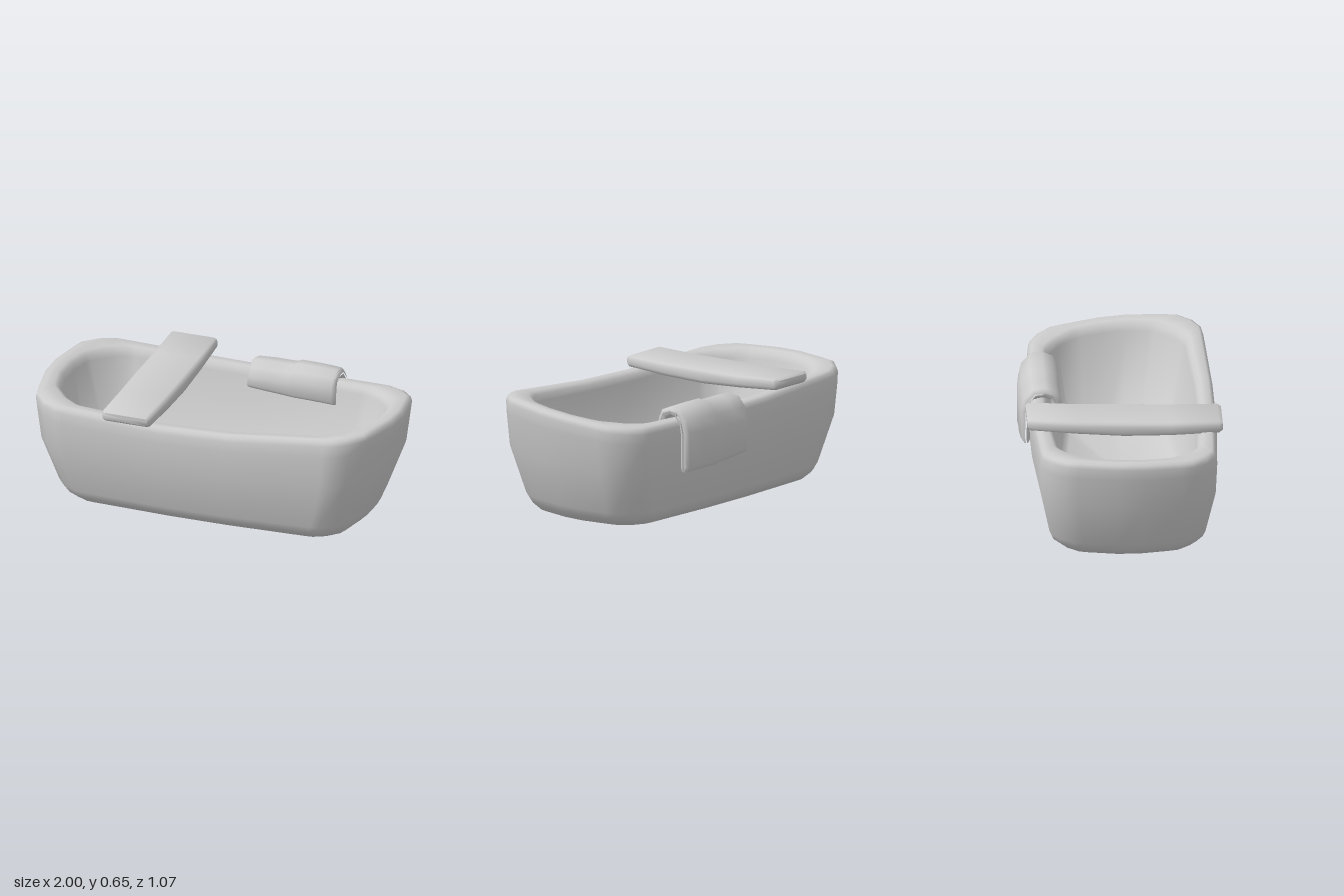
import * as THREE from 'three';
import { toCreasedNormals } from 'three/addons/utils/BufferGeometryUtils.js';

// Skin closed rings of [x, y, z] points, running counter-clockwise about the direction of travel.
function loft(rings, capped, crease = 0.95) {
  const n = rings[0].length;
  const pos = rings.flat(2);
  const idx = [];
  for (let r = 0; r < rings.length - 1; r++) {
    for (let i = 0; i < n; i++) {
      const j = (i + 1) % n;
      const a = r * n, b = a + n;
      idx.push(a + i, a + j, b + j, a + i, b + j, b + i);
    }
  }
  if (capped) {
    [0, rings.length - 1].forEach((r) => {
      const c = pos.length / 3;
      for (let k = 0; k < 3; k++) pos.push(rings[r].reduce((s, p) => s + p[k], 0) / n);
      for (let i = 0; i < n; i++) {
        const a = r * n + i, b = r * n + (i + 1) % n;
        if (r === 0) idx.push(b, a, c);
        else idx.push(a, b, c);
      }
    });
  }
  const g = new THREE.BufferGeometry();
  g.setAttribute('position', new THREE.Float32BufferAttribute(pos, 3));
  g.setIndex(idx);
  return toCreasedNormals(g, crease);
}

// Mirror one quarter of an outline into a full ring of [x, z]
function mirrorQuarter(q) {
  const rev = [...q].reverse();
  return [
    ...q, ...rev.map(([x, z]) => [x, -z]),
    ...q.map(([x, z]) => [-x, -z]), ...rev.map(([x, z]) => [-x, z]),
  ];
}

// Slightly warped rim height: the right-hand end rises to the front
const rimHeight = (x, z) =>
  0.561 + 0.05 * x * x + 0.01 * x + z * (0.09 * Math.max(x, 0) + 0.02 * Math.min(x, 0));

function tubGeometry() {
  const outer = mirrorQuarter([[0.2, 0.499], [0.75, 0.476], [0.8, 0.47], [0.88, 0.425],
    [0.948, 0.345], [0.965, 0.28], [1, 0.08]]);
  const opening = mirrorQuarter([[0.2, 0.4], [0.65, 0.372], [0.69, 0.362], [0.77, 0.312],
    [0.85, 0.22], [0.865, 0.18], [0.89, 0.07]]);
  const floor = mirrorQuarter([[0.18, 0.315], [0.58, 0.275], [0.62, 0.268], [0.66, 0.245],
    [0.7, 0.17], [0.72, 0.135], [0.775, 0.03]]);
  // outline, x scale, z scale, fraction of rim height: up the outside, over the rim, down inside
  const layers = [
    [outer, 0.81, 0.77, 0], [outer, 0.85, 0.85, 0.065], [outer, 0.872, 0.882, 0.13],
    [outer, 0.967, 0.985, 0.55], [outer, 0.99, 1, 0.84], [outer, 1, 0.99, 0.94],
    [outer, 0.994, 0.975, 0.98], [outer, 0.972, 0.945, 1],
    [opening, 1.035, 1.07, 1], [opening, 1.008, 1.02, 0.975], [opening, 0.995, 0.99, 0.92],
    [floor, 1.02, 1.03, 0.24], [floor, 0.94, 0.92, 0.19],
  ];
  return loft(layers.map(([outline, sx, sz, t]) => outline.map(([x, z]) =>
    [x * sx, t * rimHeight(x * sx, z * sz), z * sz + 0.012])), true);
}

function plankGeometry() {
  // z, half width, half thickness
  const stations = [
    [-0.517, 0.122, 0.018], [-0.5, 0.135, 0.031], [-0.25, 0.141, 0.035], [0, 0.144, 0.04],
    [0.25, 0.143, 0.037], [0.51, 0.139, 0.033], [0.53, 0.125, 0.02],
  ];
  return loft(stations.map(([z, w, h]) => {
    const y = 0.605 - 0.03 * z - 0.016 * (1 - 4 * z * z);
    const b = Math.min(0.022, h * 0.65), m = b * 0.3;
    const corner = [[h - b, w], [h - m, w - m], [h, w - b]];
    return mirrorQuarter(corner).map(([v, u]) => [u - 0.368, y + v, z]);
  }), true);
}

function towelGeometry() {
  // Centre line (z, y) from the outer hem, over the rim, to the inner hem
  const path = [
    [-0.5, 0.285], [-0.503, 0.31], [-0.502, 0.48], [-0.488, 0.54], [-0.452, 0.582],
    [-0.4, 0.587], [-0.356, 0.57], [-0.342, 0.535], [-0.335, 0.475], [-0.334, 0.46],
  ];
  // x, half thickness, outward bulge, lift, extra hem drop
  const stations = [
    [0.002, 0.004, 0, 0, -0.02], [0.007, 0.02, 0, 0, -0.02], [0.022, 0.027, 0, 0, -0.02],
    [0.12, 0.028, 0.004, 0.002, -0.01], [0.24, 0.027, 0.004, 0.003, 0],
    [0.265, 0.028, 0.006, 0.012, 0.012], [0.38, 0.028, 0.002, 0.013, 0.015],
    [0.49, 0.026, -0.006, 0.012, 0.018], [0.505, 0.02, -0.008, 0.012, 0.018],
    [0.511, 0.004, -0.008, 0.012, 0.018],
  ];
  return loft(stations.map(([x, h, bulge, lift, drop]) => {
    const pts = path.map(([z, y]) =>
      [z - bulge * (z < -0.45 ? 1 : 0.2), y + lift - (y < 0.48 ? drop : 0)]);
    const side = (s) => pts.map(([z, y], i) => {
      const p = pts[Math.max(i - 1, 0)], n = pts[Math.min(i + 1, pts.length - 1)];
      const tz = n[0] - p[0], ty = n[1] - p[1], len = Math.hypot(tz, ty);
      const k = s * h * (i === 0 || i === pts.length - 1 ? 0.5 : 1) / len;
      return [x, y + tz * k, z - ty * k];
    });
    return [...side(1), ...side(-1).reverse()];
  }), false);
}

export function createModel() {
  const group = new THREE.Group();
  group.name = 'bathtub';
  const grey = new THREE.MeshStandardMaterial({ color: 0xcccccc });
  grey.name = 'light grey';
  const add = (name, geometry) => {
    const mesh = new THREE.Mesh(geometry, grey);
    mesh.name = name;
    group.add(mesh);
  };
  add('tub', tubGeometry());
  add('plank', plankGeometry());
  add('towel', towelGeometry());
  return group;
}
